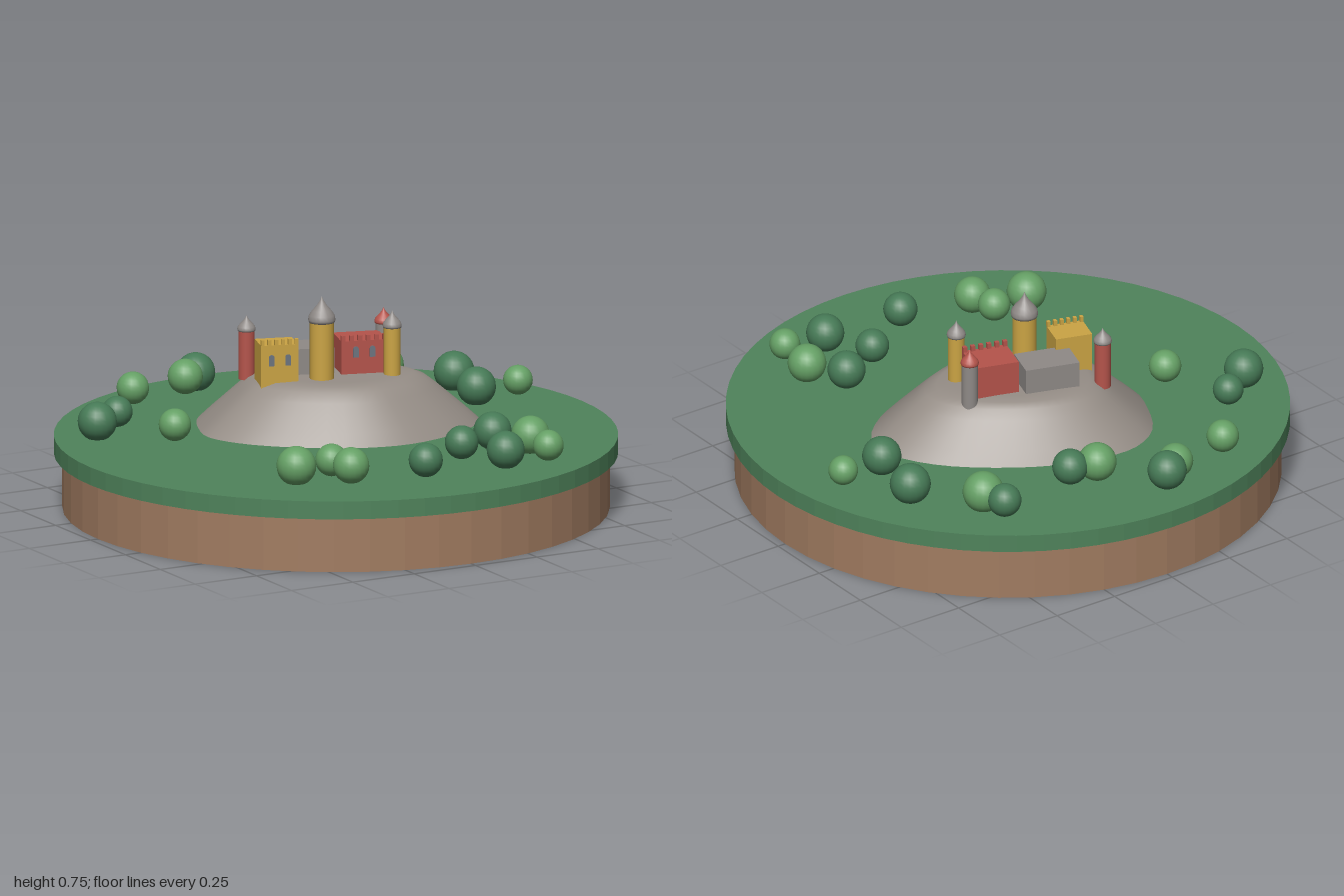
import * as THREE from 'three';

const mat = (name, color, flatShading = false) => {
  const m = new THREE.MeshStandardMaterial({ color, flatShading });
  m.name = name;
  return m;
};

export function createModel() {
  const root = new THREE.Group();
  root.name = 'castleIsland';
  const earth = mat('earth brown', 0xa17c61, true);
  const grass = mat('grass green', 0x4f835b, true);
  const rock = mat('rock grey', 0x968e87);
  const stone = mat('stone grey', 0x8f8a87);
  const yellow = mat('wall yellow', 0xcba444);
  const red = mat('wall red', 0xb5544b);
  const glass = mat('window grey', 0x6c7480);
  const darkLeaf = mat('dark leaf green', 0x467a56);
  const lightLeaf = mat('light leaf green', 0x65a065);

  const add = (parent, name, geo, material, x = 0, y = 0, z = 0) => {
    const mesh = new THREE.Mesh(geo, material);
    mesh.name = name;
    mesh.position.set(x, y, z);
    parent.add(mesh);
    return mesh;
  };

  // Round ground: earth disc under a wider grass disc
  add(root, 'earthDisc', new THREE.CylinderGeometry(0.97, 0.97, 0.2, 48), earth, 0, 0.1, 0);
  add(root, 'grassDisc', new THREE.CylinderGeometry(1, 1, 0.065, 64), grass, 0, 0.2325, 0);

  // Rocky hill: one outline shrunk towards its centre on the way up
  const outline = new THREE.CatmullRomCurve3([
    [-0.42, -0.18], [-0.385, -0.315], [-0.3, -0.465], [-0.18, -0.535],
    [-0.04, -0.535], [0.14, -0.48], [0.325, -0.37], [0.485, -0.225],
    [0.57, -0.065], [0.555, 0.06], [0.43, 0.18], [0.27, 0.245],
    [0.11, 0.262], [-0.075, 0.205], [-0.26, 0.075], [-0.37, -0.05],
  ].map(([x, z]) => new THREE.Vector3(x, 0, z)), true).getPoints(48).slice(0, 48);
  const levels = [[1, 0.262], [0.9, 0.31], [0.8, 0.355], [0.7, 0.4], [0.62, 0.432], [0.54, 0.447], [0.4, 0.45], [0, 0.45]];
  const cx = 0.075, cz = -0.14, n = outline.length;
  const pos = [], index = [];
  levels.forEach(([s, y], k) => outline.forEach((p, i) => {
    pos.push(cx + (p.x - cx) * s, y, cz + (p.z - cz) * s);
    if (k === levels.length - 1) return;
    const a = k * n + i, b = k * n + (i + 1) % n;
    index.push(a, a + n, b);
    if (k < levels.length - 2) index.push(b, a + n, b + n);
  }));
  const hill = new THREE.BufferGeometry();
  hill.setAttribute('position', new THREE.Float32BufferAttribute(pos, 3));
  hill.setIndex(index);
  hill.computeVertexNormals();
  add(root, 'hill', hill, rock);

  // Castle halls, all turned the same way; battlements and windows on the front
  const base = 0.42;
  const hall = (name, material, x, z, w, d, top, merlons, windows) => {
    const g = new THREE.Group();
    g.name = name;
    g.position.set(x, 0, z);
    g.rotation.y = -0.3;
    root.add(g);
    add(g, name + 'Walls', new THREE.BoxGeometry(w, top - base, d), material, 0, (top + base) / 2, 0);
    const step = w / (merlons * 2 - 1);
    for (let i = 0; i < merlons; i++) {
      add(g, 'merlon', new THREE.BoxGeometry(step, 0.02, 0.015), material,
        -w / 2 + step * (2 * i + 0.5), top + 0.01, d / 2 - 0.0055);
    }
    // Arched window plates
    const arch = new THREE.Shape();
    arch.moveTo(-0.01, -0.02);
    arch.lineTo(0.01, -0.02);
    arch.lineTo(0.01, 0.01);
    arch.absarc(0, 0.01, 0.01, 0, Math.PI, false);
    const pane = new THREE.ExtrudeGeometry(arch, { depth: 0.005, bevelEnabled: false, curveSegments: 6 });
    for (let i = 0; i < windows; i++) {
      add(g, 'window', pane, glass, (i - (windows - 1) / 2) * 0.06, 0.53, d / 2 - 0.001);
    }
  };
  hall('yellowHall', yellow, -0.148, -0.166, 0.135, 0.11, 0.585, 6, 2);
  hall('stoneHall', stone, -0.005, -0.23, 0.2, 0.135, 0.543, 0, 0);
  hall('redHall', red, 0.18, -0.145, 0.165, 0.14, 0.57, 6, 2);

  // Round towers with pointed, slightly bulbous roofs
  const tower = (name, wall, roofMat, x, z, r, top, tip) => {
    const g = new THREE.Group();
    g.name = name;
    g.position.set(x, 0, z);
    root.add(g);
    add(g, name + 'Wall', new THREE.CylinderGeometry(r, r, top - base, 20), wall, 0, (top + base) / 2, 0);
    const h = tip - top;
    const profile = [[0, 0], [1.08, 0], [1.14, 0.1], [1.06, 0.27], [0.78, 0.45], [0.4, 0.65], [0.15, 0.83], [0, 1]]
      .map(([a, b]) => new THREE.Vector2(a * r, b * h));
    add(g, name + 'Roof', new THREE.LatheGeometry(profile, 20), roofMat, 0, top, 0);
  };
  tower('greatTower', yellow, stone, -0.005, -0.093, 0.043, 0.655, 0.75);
  tower('frontTower', yellow, stone, 0.243, -0.025, 0.03, 0.62, 0.682);
  tower('stoneTower', stone, red, 0.3, -0.187, 0.029, 0.595, 0.652);
  tower('redTower', red, stone, -0.18, -0.325, 0.029, 0.595, 0.652);

  // Ball-shaped trees: x, z, radius
  const trees = (name, material, list) => list.forEach(([x, z, r]) =>
    add(root, name, new THREE.SphereGeometry(r, 20, 14), material, x, 0.326, z));
  trees('darkTree', darkLeaf, [
    [-0.1, -0.83, 0.07], [0.165, -0.61, 0.064], [0.5, -0.68, 0.06], [0.7, -0.385, 0.073],
    [-0.63, -0.46, 0.055], [-0.765, -0.365, 0.07], [0.66, -0.155, 0.07], [-0.035, 0.705, 0.061],
    [0.205, 0.54, 0.06], [0.385, 0.445, 0.068], [0.285, 0.715, 0.068],
  ]);
  trees('lightTree', lightLeaf, [
    [-0.165, -0.79, 0.063], [-0.41, -0.735, 0.058], [0.065, -0.635, 0.069], [0.525, -0.585, 0.074],
    [-0.55, -0.187, 0.058], [0.835, -0.165, 0.053], [-0.477, 0.555, 0.071], [-0.325, 0.54, 0.058],
    [-0.305, 0.645, 0.065], [0.47, 0.567, 0.069], [0.45, 0.73, 0.055],
  ]);
  return root;
}
